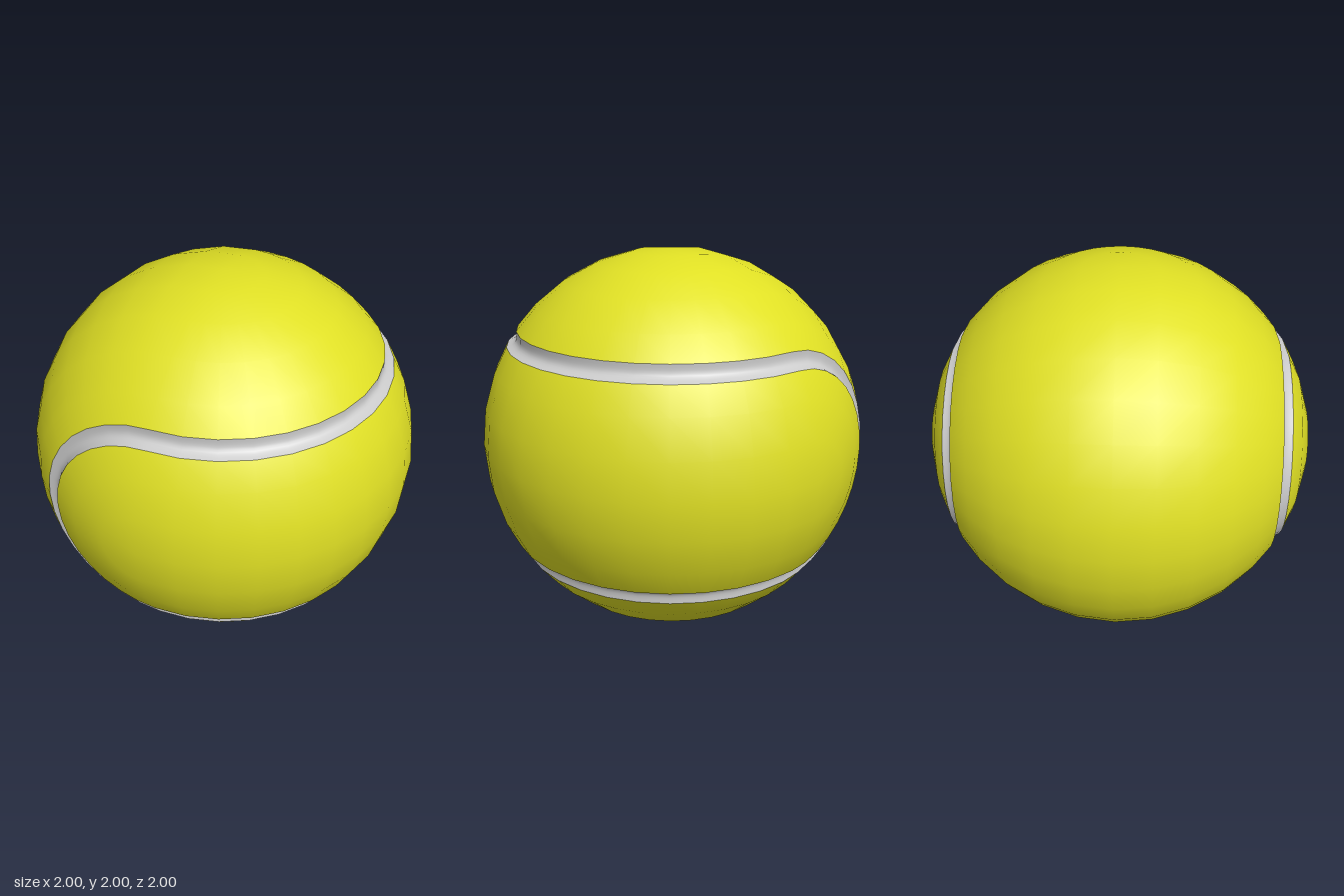
import * as THREE from 'three';

const SEAM = Math.atan2(0.555, 0.83);   // latitude of the seam on the sphere
const HALF = 0.048;                     // half the seam's angular width
const DEPTH = 0.025;
const STEP = Math.PI / 16;

const felt = new THREE.MeshStandardMaterial({ color: 0xe0e024 });
const rubber = new THREE.MeshStandardMaterial({ color: 0xcccccc });

const polar = (lat, r = 1) => new THREE.Vector2(Math.max(0, r * Math.cos(lat)), r * Math.sin(lat));

// half turn of a profile, covering the +x side
const halfLathe = (points) => new THREE.LatheGeometry(points, 16, 0, Math.PI);

// band of the sphere's skin between two latitudes
function skinBand(from, to) {
  const points = [polar(from)];
  for (let i = -8; i <= 8; i++) {
    const lat = i * STEP;
    if (lat > from + 0.01 && lat < to - 0.01) points.push(polar(lat));
  }
  points.push(polar(to));
  const geometry = halfLathe(points);
  const normal = geometry.attributes.position.clone();
  const v = new THREE.Vector3();
  for (let i = 0; i < normal.count; i++) {
    v.fromBufferAttribute(normal, i).normalize();
    normal.setXYZ(i, v.x, v.y, v.z);
  }
  geometry.setAttribute('normal', normal);
  return geometry;
}

// shallow rounded channel centred on a latitude
function groove(lat) {
  const points = [];
  for (let i = 0; i <= 8; i++) {
    const t = i / 8;
    points.push(polar(lat + HALF * (2 * t - 1), 1 - DEPTH * Math.sin(Math.PI * t)));
  }
  return halfLathe(points);
}

// half of the ball: three skin bands divided by two grooves
function halfBall(name, lat) {
  const half = new THREE.Group();
  half.name = name;
  const add = (part, geometry, material) => {
    const mesh = new THREE.Mesh(geometry, material);
    mesh.name = part;
    half.add(mesh);
  };
  const pole = Math.PI / 2;
  add('feltLowerCap', skinBand(-pole, -lat - HALF), felt);
  add('feltMiddle', skinBand(-lat + HALF, lat - HALF), felt);
  add('feltUpperCap', skinBand(lat + HALF, pole), felt);
  add('seamLower', groove(-lat), rubber);
  add('seamUpper', groove(lat), rubber);
  half.position.y = 1;
  return half;
}

export function createModel() {
  const ball = new THREE.Group();
  ball.name = 'ball';

  // left half turns about y; right half turns about z, so the seams join at x = 0
  const left = halfBall('leftHalf', SEAM);
  const right = halfBall('rightHalf', Math.PI / 2 - SEAM);
  right.quaternion.setFromAxisAngle(new THREE.Vector3(0, 1, 1).normalize(), Math.PI);

  ball.add(left, right);
  return ball;
}
